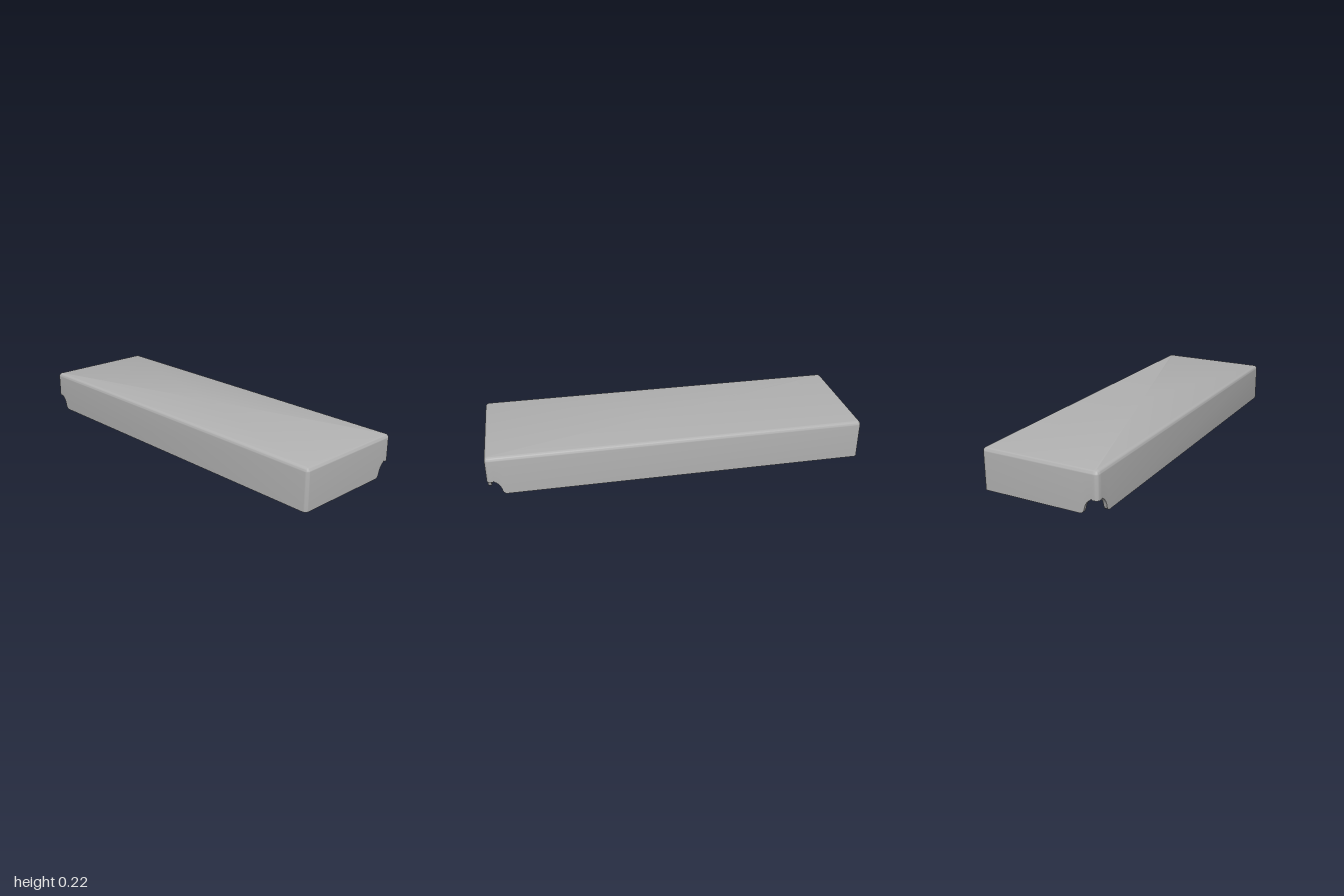
import * as THREE from 'three';
import { toCreasedNormals } from 'three/addons/utils/BufferGeometryUtils.js';

const HX = 1, HZ = 0.315, H = 0.215;   // half length, half depth, height
const R = 0.02, WALL = 0.018, CEIL = 0.198; // edge radius, wall thickness, inner ceiling

// Ogee notch: [distance from the corner, height of the cut]
const NOTCH = [[0.03, 0.075], [0.036, 0.08], [0.041, 0.074], [0.05, 0.068], [0.058, 0.06], [0.066, 0.048],
  [0.071, 0.035], [0.075, 0.018], [0.08, 0.008], [0.088, 0.002], [0.096, 0]];
const NOTCHED = [false, true, false, true];

// Columns around the rounded outline: centre, outward normal and bottom height
function outline() {
  const cols = [];
  const sx = [1, -1, -1, 1], sz = [1, 1, -1, -1];
  const centre = k => new THREE.Vector2(sx[k % 4] * (HX - R), sz[k % 4] * (HZ - R));
  for (let k = 0; k < 4; k++) {
    const a = centre(k), b = centre(k + 1);
    for (let i = 0; i <= 6; i++) {
      const t = (k + i / 6) * Math.PI / 2;
      cols.push({ c: a, n: new THREE.Vector2(Math.cos(t), Math.sin(t)), h: NOTCHED[k] ? 0.075 : 0 });
    }
    const n = cols[cols.length - 1].n;
    const dir = b.clone().sub(a).normalize();
    if (NOTCHED[k]) {
      for (const [d, h] of NOTCH) cols.push({ c: a.clone().addScaledVector(dir, d - R), n, h });
    } else {
      for (const [d, h] of [...NOTCH].reverse()) cols.push({ c: b.clone().addScaledVector(dir, R - d), n, h });
    }
  }
  return cols;
}

// Open-bottomed tray cover, swept from inner ceiling over the rim to the top
function shellGeometry() {
  const cols = outline();
  const rings = [];
  const ring = (inset, y) => rings.push(cols.map(({ c, n, h }) => {
    const p = c.clone().addScaledVector(n, R - inset);
    return new THREE.Vector3(p.x, y ?? h, p.y);
  }));
  const middle = y => rings.push(cols.map(() => new THREE.Vector3(0, y, 0)));
  middle(CEIL);
  ring(WALL, CEIL);
  ring(WALL);
  ring(0);
  for (let i = 0; i <= 6; i++) {
    const t = i / 6 * Math.PI / 2;
    ring(R * (1 - Math.cos(t)), H - R + R * Math.sin(t));
  }
  middle(H);

  const pos = [];
  const tri = (a, b, c) => {
    const area = b.clone().sub(a).cross(c.clone().sub(a)).length();
    if (area > 1e-10) for (const p of [a, b, c]) pos.push(p.x, p.y, p.z);
  };
  for (let m = 0; m < rings.length - 1; m++) {
    for (let j = 0; j < cols.length; j++) {
      const q = (j + 1) % cols.length;
      const lo = rings[m], hi = rings[m + 1];
      tri(lo[j], hi[j], lo[q]);
      tri(lo[q], hi[j], hi[q]);
    }
  }
  const g = new THREE.BufferGeometry();
  g.setAttribute('position', new THREE.Float32BufferAttribute(pos, 3));
  return toCreasedNormals(g, 0.6);
}

export function createModel() {
  const model = new THREE.Group();
  model.name = 'trayCover';
  const grey = new THREE.MeshStandardMaterial({ color: 0xb1b1b1 });
  grey.name = 'grey';
  const add = (parent, name, geometry) => {
    const mesh = new THREE.Mesh(geometry, grey);
    mesh.name = name;
    parent.add(mesh);
    return mesh;
  };

  add(model, 'shell', shellGeometry());

  // Staggered domes under the ceiling
  const studs = new THREE.Group();
  studs.name = 'ceilingStuds';
  model.add(studs);
  const dome = new THREE.SphereGeometry(0.023, 16, 6, 0, Math.PI * 2, 0, Math.PI / 2);
  dome.rotateX(Math.PI);
  for (let row = -3; row <= 3; row++) {
    const odd = row % 2 !== 0;
    const count = odd ? 16 : 15;
    for (let i = 0; i < count; i++) {
      const stud = add(studs, 'stud', dome);
      stud.position.set((i - (count - 1) / 2) * 0.119, CEIL, row * 0.066);
      stud.scale.y = 0.65;
    }
  }

  // Small buttons on the inside of the long walls
  const buttons = new THREE.Group();
  buttons.name = 'wallButtons';
  model.add(buttons);
  const button = new THREE.SphereGeometry(0.013, 14, 6, 0, Math.PI * 2, 0, Math.PI / 2);
  for (const side of [-1, 1]) {
    for (const x of [-0.74, 0, 0.74]) {
      const b = add(buttons, 'button', button);
      b.position.set(x, 0.09, side * (HZ - WALL));
      b.rotation.x = -side * Math.PI / 2;
      b.scale.y = 0.7;
    }
  }
  return model;
}
